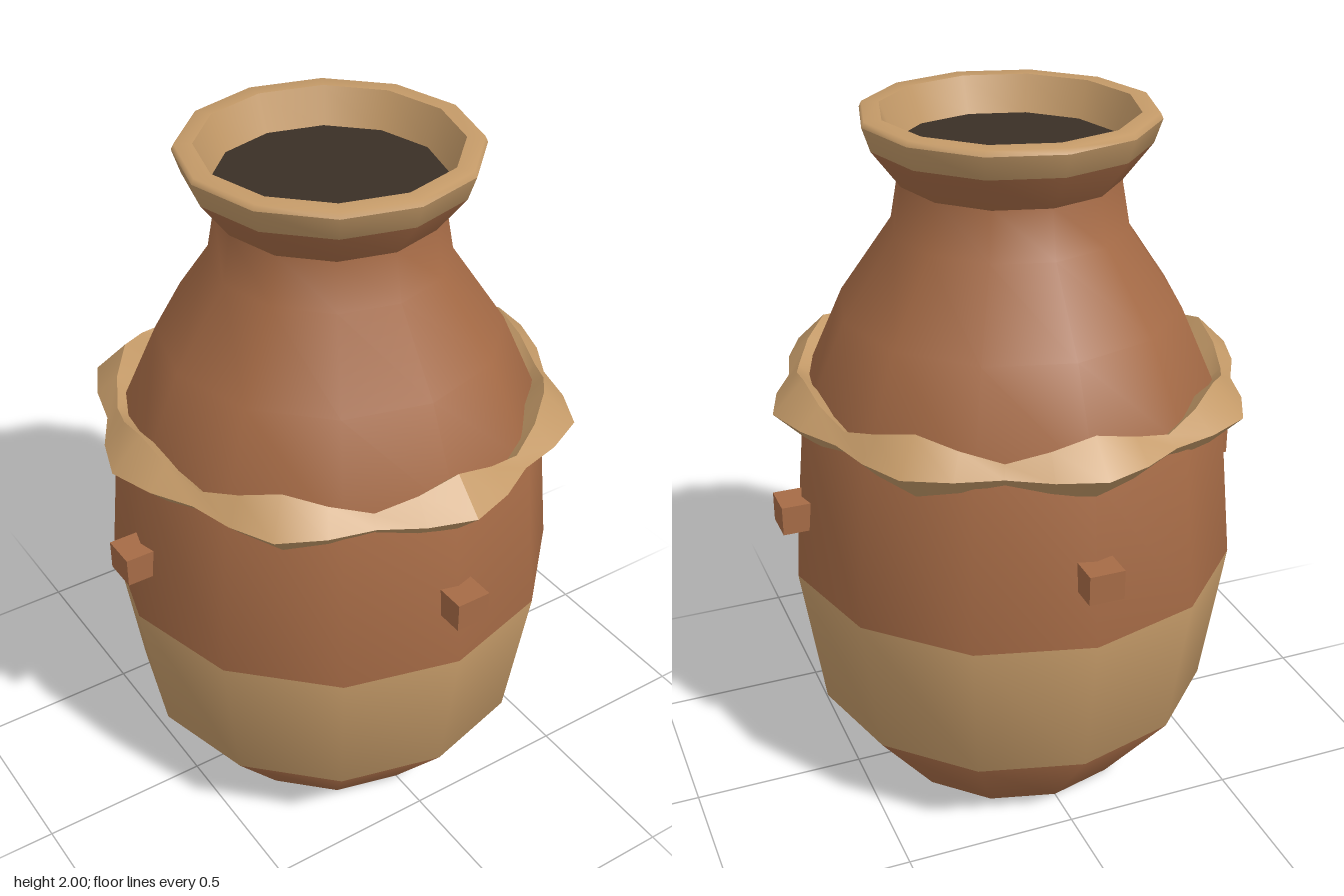
import * as THREE from 'three';

const SIDES = 12;

function material(name, color) {
  const m = new THREE.MeshStandardMaterial({ color });
  m.name = name;
  return m;
}

// Turned surface; bands gives the material index of each profile step
function turned(name, profile, materials, bands) {
  const geo = new THREE.LatheGeometry(profile.map(([r, y]) => new THREE.Vector2(r, y)), SIDES);
  const steps = profile.length - 1;
  if (bands) {
    for (let i = 0; i < SIDES * steps; i++) geo.addGroup(i * 6, 6, bands[i % steps]);
  }
  const mesh = new THREE.Mesh(geo, materials);
  mesh.name = name;
  return mesh;
}

// Ring with a diamond section whose thickness swells in eight waves
function wavyCollar() {
  const segments = 32, position = [], index = [];
  const point = (i, k) => {
    const a = (i / segments) * Math.PI * 2;
    const t = 0.06 + 0.03 * Math.cos(8 * a);
    const r = 0.6 + t * Math.cos(k * Math.PI / 2);
    return [r * Math.sin(a), 1.22 + t * Math.sin(k * Math.PI / 2), r * Math.cos(a)];
  };
  // Each of the four faces has its own rows, so the ridges stay sharp
  for (let k = 0; k < 4; k++) {
    const base = position.length / 3;
    for (let i = 0; i <= segments; i++) position.push(...point(i, k), ...point(i, k + 1));
    for (let i = 0; i < segments; i++) {
      const a = base + i * 2;
      index.push(a, a + 2, a + 1, a + 2, a + 3, a + 1);
    }
  }
  const geo = new THREE.BufferGeometry();
  geo.setAttribute('position', new THREE.Float32BufferAttribute(position, 3));
  geo.setIndex(index);
  geo.computeVertexNormals();
  return geo;
}

export function createModel() {
  const clay = material('clay', 0xa66b46);
  const sand = material('sand', 0xc49a68);
  const dark = material('darkInside', 0x3a3026);
  const group = new THREE.Group();
  group.name = 'pot';

  // Body with a painted band around the belly
  group.add(turned('body', [
    [0.375, 0], [0.585, 0.265], [0.65, 0.7], [0.605, 1.18],
    [0.48, 1.46], [0.33, 1.68], [0.305, 1.82],
  ], [clay, sand], [0, 1, 0, 0, 0, 0]));

  // Flared rim: outside, flat lip and inner wall
  group.add(turned('rimOutside', [[0.305, 1.815], [0.385, 1.92], [0.407, 1.985]], [clay, sand], [0, 1]));
  group.add(turned('rimLip', [[0.407, 1.985], [0.4, 2], [0.352, 2]], sand));
  group.add(turned('rimInside', [[0.352, 2], [0.312, 1.9]], sand));

  // Dark opening
  const opening = new THREE.Mesh(new THREE.CircleGeometry(0.314, SIDES), dark);
  opening.name = 'opening';
  opening.rotation.x = -Math.PI / 2;
  opening.position.y = 1.9;
  group.add(opening);

  // Underside, two-coloured along a chord
  const base = (name, from, count, mat) => {
    const shape = new THREE.Shape();
    for (let i = 0; i <= count; i++) {
      const a = (from + i) * Math.PI / 6;
      const x = 0.375 * Math.sin(a), y = -0.375 * Math.cos(a);
      if (i) shape.lineTo(x, y); else shape.moveTo(x, y);
    }
    const mesh = new THREE.Mesh(new THREE.ShapeGeometry(shape), mat);
    mesh.name = name;
    mesh.rotation.x = Math.PI / 2;
    group.add(mesh);
  };
  base('baseSand', -2, 7, sand);
  base('baseClay', 5, 5, clay);

  // Wavy collar around the shoulder
  const collar = new THREE.Mesh(wavyCollar(), sand);
  collar.name = 'collar';
  group.add(collar);

  // Four square pegs
  for (let i = 0; i < 4; i++) {
    const a = i * Math.PI / 2;
    const peg = new THREE.Mesh(new THREE.BoxGeometry(0.1, 0.085, 0.1), clay);
    peg.name = 'peg' + (i + 1);
    peg.position.set(0.645 * Math.sin(a), 0.912, 0.645 * Math.cos(a));
    peg.rotation.y = a;
    group.add(peg);
  }
  return group;
}
